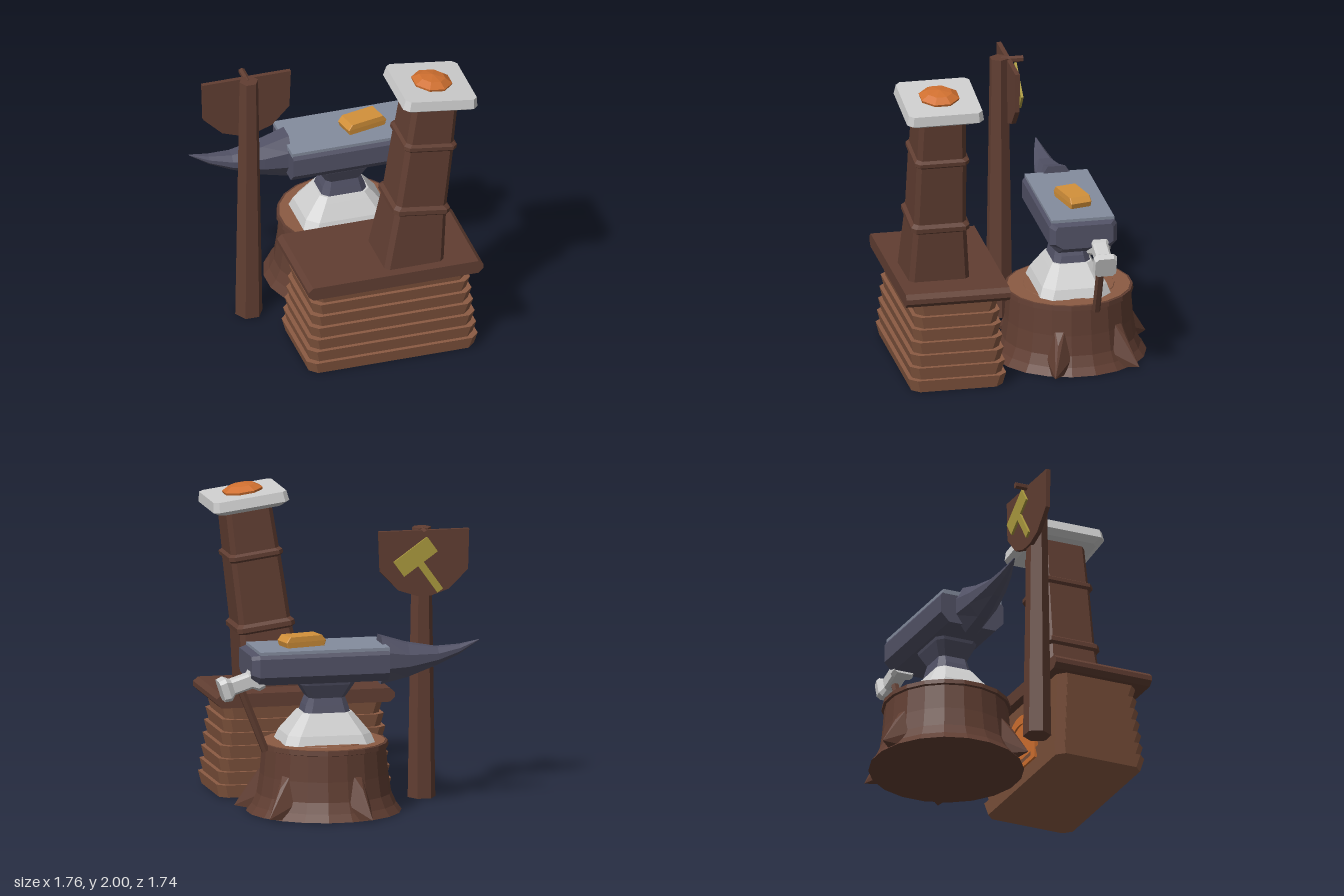
import * as THREE from 'three';
import { ConvexGeometry } from 'three/addons/geometries/ConvexGeometry.js';

const mat = (name, color) => {
  const m = new THREE.MeshStandardMaterial({ color });
  m.name = name;
  return m;
};

// Faceted solid through rings of equal point counts, closed at both ends
function loft(rings) {
  const pos = [];
  const tri = (a, b, c) => pos.push(...a, ...b, ...c);
  const n = rings[0].length;
  const mid = r => [0, 1, 2].map(k => r.reduce((s, p) => s + p[k], 0) / n);
  const lo = rings[0], hi = rings[rings.length - 1];
  for (let j = 0; j < n; j++) {
    const k = (j + 1) % n;
    for (let i = 0; i < rings.length - 1; i++) {
      const a = rings[i], b = rings[i + 1];
      tri(a[j], a[k], b[k]);
      tri(a[j], b[k], b[j]);
    }
    tri(mid(lo), lo[k], lo[j]);
    tri(mid(hi), hi[j], hi[k]);
  }
  const g = new THREE.BufferGeometry();
  g.setAttribute('position', new THREE.Float32BufferAttribute(pos, 3));
  g.computeVertexNormals();
  return g;
}

// Horizontal rectangle with cut corners
const rect = (y, hx, hz, c) => [
  [hx, hz - c], [hx, c - hz], [hx - c, -hz], [c - hx, -hz],
  [-hx, c - hz], [-hx, hz - c], [c - hx, hz], [hx - c, hz],
].map(([x, z]) => [x, y, z]);

// Horizontal regular polygon
const circle = (y, r, n) => Array.from({ length: n }, (_, i) => {
  const a = (i + 0.5) / n * Math.PI * 2;
  return [r * Math.cos(a), y, -r * Math.sin(a)];
});

// Mirrored section across x; half lists [halfWidth, y] from bottom to top
const section = (x, half) => [
  ...half.map(([w, y]) => [x, y, -w]),
  ...half.slice().reverse().map(([w, y]) => [x, y, w]),
];

const flat = g => {
  const f = g.index ? g.toNonIndexed() : g;
  f.computeVertexNormals();
  return f;
};

export function createModel() {
  const root = new THREE.Group();
  root.name = 'smithy';
  const brown = mat('dark brown', 0x613e32);
  const brick = mat('clay brown', 0x8b5b43);
  const steel = mat('pale steel', 0xcfcfcf);
  const slate = mat('dark slate', 0x525266);
  const face = mat('worn slate', 0x848c9e);
  const ember = mat('ember orange', 0xd07030);
  const ingotGold = mat('hot gold', 0xd3913a);
  const brass = mat('brass', 0xab9a3e);

  const add = (name, geo, m, x = 0, y = 0, z = 0, parent = root) => {
    const mesh = new THREE.Mesh(geo, m);
    mesh.name = name;
    mesh.position.set(x, y, z);
    parent.add(mesh);
    return mesh;
  };

  // Furnace base: seven flaring courses
  for (let i = 0; i < 7; i++) {
    const t = i / 6, hx = 0.58 - 0.05 * t, hz = 0.322 - 0.04 * t, y = i * 0.0845;
    add('furnaceCourse', loft([
      rect(y, hx - 0.02, hz - 0.02, 0.05),
      rect(y + 0.0845, hx, hz, 0.05),
    ]), brick, 0.15, 0, 0.522);
  }

  // Slab with bevelled ends
  const slabHalf = [[0.343, 0.595], [0.343, 0.685]], slabEnd = [[0.343, 0.625], [0.343, 0.657]];
  add('furnaceSlab', loft([
    section(-0.592, slabEnd), section(-0.56, slabHalf),
    section(0.56, slabHalf), section(0.592, slabEnd),
  ]), brown, 0.152, 0, 0.528);

  // Arched fire mouth on the back of the furnace
  const arch = (r, bottom) => {
    const s = new THREE.Shape();
    s.moveTo(-r, bottom);
    s.lineTo(r, bottom);
    s.absarc(0, 0.25, r, 0, Math.PI, false);
    s.closePath();
    return s;
  };
  const rim = arch(0.23, 0.1);
  rim.holes.push(arch(0.17, 0.11));
  const archOpts = depth => ({ depth, bevelEnabled: false, curveSegments: 8 });
  add('fireMouthRim', new THREE.ExtrudeGeometry(rim, archOpts(0.08)), ember, 0.15, 0, 0.2);
  add('fireMouth', new THREE.ExtrudeGeometry(arch(0.175, 0.1), archOpts(0.06)), ember, 0.15, 0, 0.212);

  // Leaning chimney with two collars, cap and ember
  const chimney = new THREE.Group();
  chimney.name = 'chimney';
  chimney.position.set(0.305, 0.68, 0.602);
  chimney.rotation.z = -0.135;
  root.add(chimney);
  const stack = [[-0.02, 0.202], [0.37, 0.176], [0.385, 0.193], [0.415, 0.193], [0.435, 0.172],
    [0.845, 0.165], [0.86, 0.18], [0.885, 0.18], [0.9, 0.161], [1.2, 0.153]];
  add('chimneyStack', loft(stack.map(([y, h]) => rect(y, h, h, 0.03))), brown, 0, 0, 0, chimney);
  add('chimneyCap', loft([
    rect(1.18, 0.21, 0.21, 0.03), rect(1.21, 0.254, 0.254, 0.035), rect(1.275, 0.243, 0.243, 0.03),
  ]), steel, 0, 0, 0, chimney);
  add('chimneyEmber', loft([
    circle(1.25, 0.125, 8), circle(1.29, 0.135, 8), circle(1.32, 0.085, 8), circle(1.333, 0.005, 8),
  ]), ember, 0, 0, 0, chimney);

  // Tree stump
  const stump = new THREE.Group();
  stump.name = 'stump';
  stump.position.set(0.15, 0, -0.322);
  root.add(stump);
  const trunk = [[0, 0.505], [0.05, 0.468], [0.12, 0.437], [0.25, 0.417], [0.42, 0.403],
    [0.425, 0.42], [0.455, 0.416]];
  add('stumpTrunk', loft(trunk.map(([y, r]) => circle(y, r, 20))), brown, 0, 0, 0, stump);
  add('stumpTop', loft([circle(0.45, 0.4, 20), circle(0.459, 0.4, 20)]), brick, 0, 0, 0, stump);
  add('stumpRing', loft([circle(0.455, 0.3, 20), circle(0.464, 0.295, 20)]), brick, 0, 0, 0, stump);
  for (const deg of [-110, -40, 20, 140]) {
    const pts = [[0.39, 0.3, -0.035], [0.39, 0.3, 0.035], [0.47, 0.2, 0], [0.585, 0.015, 0],
      [0.42, 0.1, -0.085], [0.42, 0.1, 0.085], [0.45, 0.005, -0.06], [0.45, 0.005, 0.06]];
    const rootMesh = add('stumpRoot', flat(new ConvexGeometry(pts.map(p => new THREE.Vector3(...p)))),
      brown, 0, 0, 0, stump);
    rootMesh.rotation.y = -deg * Math.PI / 180;
  }

  // Anvil
  const anvil = new THREE.Group();
  anvil.name = 'anvil';
  anvil.position.z = -0.32;
  root.add(anvil);
  add('anvilFoot', loft([
    rect(0.455, 0.3, 0.235, 0.07), rect(0.52, 0.275, 0.212, 0.07),
    rect(0.62, 0.195, 0.152, 0.05), rect(0.655, 0.165, 0.13, 0.04),
  ]), steel, 0.145, 0, 0, anvil);
  add('anvilNeck', loft([
    rect(0.64, 0.155, 0.125, 0.04), rect(0.7, 0.14, 0.112, 0.04), rect(0.75, 0.12, 0.1, 0.03),
    rect(0.84, 0.175, 0.14, 0.04), rect(0.88, 0.185, 0.15, 0.04),
  ]), slate, 0.145, 0, 0, anvil);
  const bodyHalf = [[0.165, 0.86], [0.223, 0.92], [0.223, 1.04], [0.207, 1.065]];
  const endHalf = [[0.14, 0.9], [0.19, 0.935], [0.19, 1.03], [0.175, 1.055]];
  add('anvilBody', loft([
    section(-0.24, bodyHalf), section(0.62, bodyHalf), section(0.67, endHalf),
  ]), slate, 0, 0, 0, anvil);
  add('anvilFace', new THREE.BoxGeometry(0.86, 0.03, 0.415), face, 0.187, 1.07, 0, anvil);
  const horn = [[-0.88, 1.078, 1.072, 0.004], [-0.75, 1.05, 0.99, 0.04], [-0.6, 1.04, 0.925, 0.07],
    [-0.4, 1.075, 0.855, 0.1], [-0.22, 1.13, 0.815, 0.117]];
  add('anvilHorn', loft(horn.map(([x, top, bot, w]) => {
    const h = top - bot;
    return section(x, [[w * 0.35, bot], [w, bot + h * 0.35], [w, bot + h * 0.7], [w * 0.5, top]]);
  })), slate, 0, 0, 0, anvil);

  // Glowing ingot on the anvil
  add('ingot', loft([
    rect(1.08, 0.13, 0.07, 0.005), rect(1.12, 0.142, 0.072, 0.005), rect(1.155, 0.115, 0.07, 0.005),
  ]), ingotGold, 0.295, 0, -0.318).rotation.y = 0.22;

  // Hammer leaning on the stump
  const from = new THREE.Vector3(0.56, 0.42, -0.42), to = new THREE.Vector3(0.73, 0.85, -0.42);
  const shaft = add('hammerHandle', flat(new THREE.CylinderGeometry(0.027, 0.027, from.distanceTo(to), 6)),
    brown, ...from.clone().add(to).multiplyScalar(0.5).toArray());
  shaft.quaternion.setFromUnitVectors(new THREE.Vector3(0, 1, 0), to.clone().sub(from).normalize());
  const head = [[-0.14, 0.07], [-0.095, 0.077], [-0.06, 0.05], [0.06, 0.05], [0.095, 0.077], [0.14, 0.07]];
  add('hammerHead', loft(head.map(([x, h]) =>
    section(x, [[h * 0.7, -h], [h, -h * 0.7], [h, h * 0.7], [h * 0.7, h]]))),
  steel, 0.725, 0.868, -0.422).rotation.z = -0.31;

  // Signpost, board and peg
  add('signPost', flat(new THREE.CylinderGeometry(0.063, 0.092, 1.775, 6)), brown, -0.57, 0.8875, -0.012)
    .rotation.y = Math.PI / 6;
  const board = new THREE.Shape([[-0.87, 1.765], [-0.862, 1.5], [-0.735, 1.375], [-0.62, 1.335],
    [-0.52, 1.335], [-0.4, 1.375], [-0.28, 1.5], [-0.27, 1.765]].map(p => new THREE.Vector2(...p)));
  add('signBoard', new THREE.ExtrudeGeometry(board, { depth: 0.03, bevelEnabled: false }),
    brown, 0, 0, -0.088);
  add('signPeg', flat(new THREE.CylinderGeometry(0.022, 0.022, 0.15, 6)), brown, -0.57, 1.757, -0.095)
    .rotation.x = Math.PI / 2;

  // Hammer-shaped brass plaque hung behind the board
  const plaque = new THREE.Group();
  plaque.name = 'plaque';
  plaque.position.set(-0.505, 1.6, -0.123);
  plaque.rotation.z = -0.62;
  root.add(plaque);
  add('plaqueHead', new THREE.BoxGeometry(0.275, 0.12, 0.015), brass, 0, 0, 0, plaque);
  add('plaqueHandle', new THREE.BoxGeometry(0.046, 0.22, 0.015), brass, 0, -0.17, 0, plaque);

  return root;
}
